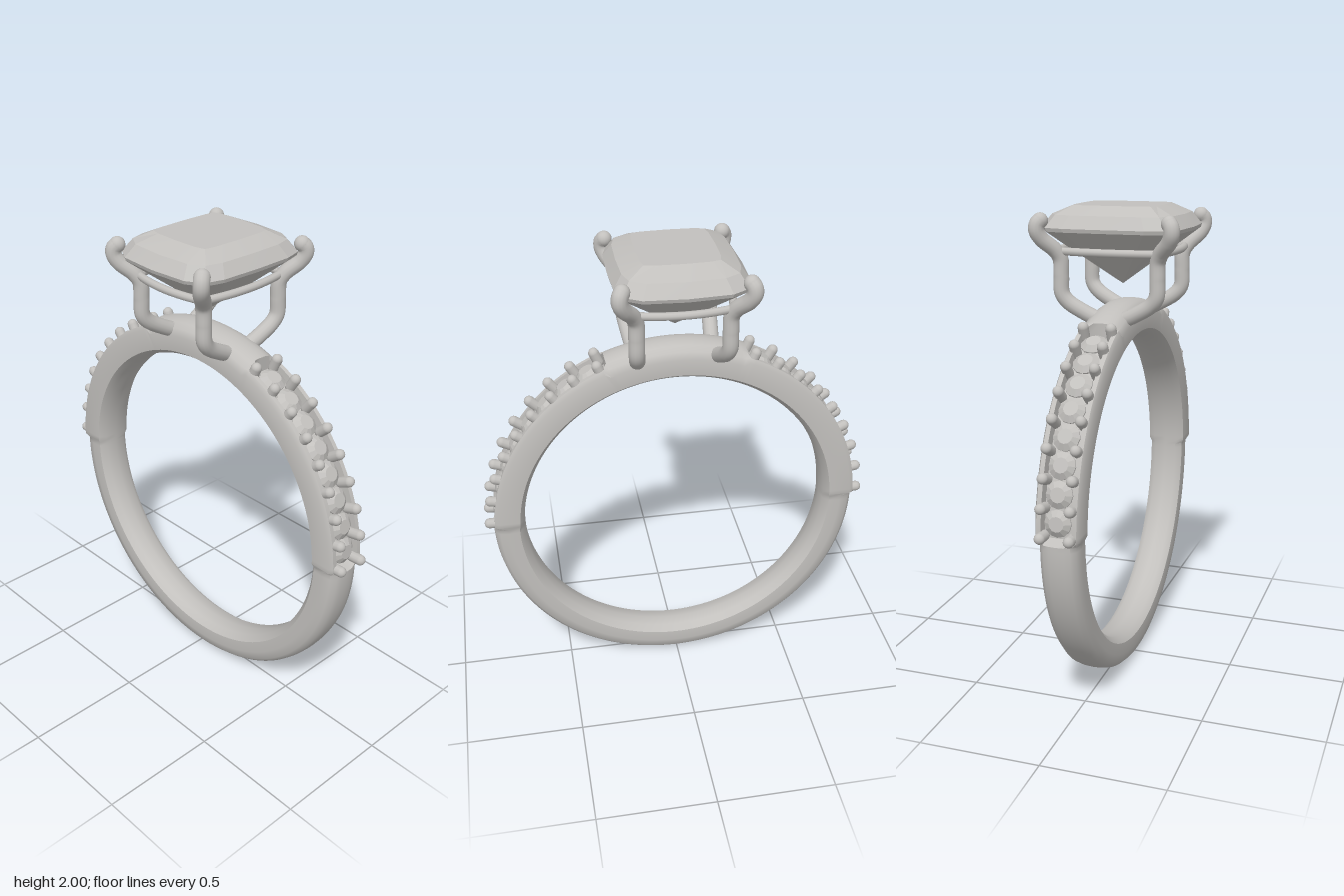
import * as THREE from 'three';
import { toCreasedNormals } from 'three/addons/utils/BufferGeometryUtils.js';

const CENTER_Y = 0.797;
const RAD = Math.PI / 180;

// Join rings of points into a surface; edges sharper than crease stay sharp.
function loft(rings, closed, crease) {
  const n = rings[0].length, m = rings.length, index = [];
  for (let i = 0; i < (closed ? m : m - 1); i++) {
    for (let j = 0; j < n; j++) {
      const k = (i + 1) % m, l = (j + 1) % n;
      const a = i * n + j, b = i * n + l, c = k * n + l, d = k * n + j;
      index.push(a, b, c, a, c, d);
    }
  }
  const geo = new THREE.BufferGeometry();
  geo.setAttribute('position', new THREE.Float32BufferAttribute(rings.flat(2), 3));
  geo.setIndex(index);
  return toCreasedNormals(geo, crease);
}

// Half cross-sections of the band as [radius, z], from inside to outside.
const plainHalf = [[0.66, 0], [0.664, 0.05], [0.688, 0.077], [0.735, 0.08], [0.772, 0.073], [0.79, 0.054], [0.796, 0.03], [0.798, 0]];
const channelHalf = [[0.66, 0], [0.664, 0.055], [0.684, 0.085], [0.775, 0.09], [0.792, 0.08], [0.792, 0.062], [0.752, 0.06], [0.752, 0]];
const crownHalf = [[0.66, 0], [0.664, 0.055], [0.684, 0.085], [0.755, 0.09], [0.785, 0.078], [0.803, 0.052], [0.81, 0.027], [0.812, 0]];

function bandGeometry() {
  const rings = [];
  for (let deg = 0; deg < 360; deg += 1.5) {
    const rise = deg <= 90 ? deg : deg <= 270 ? 180 - deg : deg - 360;
    const half = rise < 1 ? plainHalf : rise < 68 ? channelHalf : crownHalf;
    const section = [...half, ...half.slice(1, -1).reverse().map(([r, z]) => [r, -z])];
    const c = Math.cos(deg * RAD), s = Math.sin(deg * RAD);
    rings.push(section.map(([r, z]) => [r * c, CENTER_Y + r * s, z]));
  }
  return loft(rings, true, 0.75);
}

// Mirror a quarter outline (from +x to +z) into a full ring at height y.
function cushionRing(quarter, scale, y) {
  const fwd = quarter.slice(0, -1), back = quarter.slice(1).reverse();
  const part = (pts, sx, sz) => pts.map(([x, z]) => [sx * x * scale, y, sz * z * scale]);
  return [...part(fwd, 1, -1), ...part(back, -1, -1), ...part(fwd, -1, 1), ...part(back, 1, 1)];
}

const girdle = [[0.267, 0], [0.262, 0.17], [0.24, 0.248], [0.17, 0.29], [0, 0.302]];
const table = [[0.158, 0], [0.155, 0.12], [0.147, 0.162], [0.105, 0.173], [0, 0.177]];

function centreStoneGeometry() {
  return loft([
    cushionRing(girdle, 0, 1.675),
    cushionRing(girdle, 0.66, 1.825),
    cushionRing(girdle, 0.985, 1.9),
    cushionRing(girdle, 1, 1.915),
    cushionRing(girdle, 0.87, 1.965),
    cushionRing(table, 1, 2),
    cushionRing(table, 0, 2),
  ], false, 0.12);
}

export function createModel() {
  const model = new THREE.Group();
  const silver = new THREE.MeshStandardMaterial({ color: 0xc2c0bd });
  silver.name = 'silver grey';

  const add = (geo, name, parent = model) => {
    const mesh = new THREE.Mesh(geo, silver);
    mesh.name = name;
    parent.add(mesh);
    return mesh;
  };

  add(bandGeometry(), 'band');
  add(centreStoneGeometry(), 'centreStone');

  // Prongs: out from the band, up, then flaring round the stone's corners
  const prongPath = [
    [0.165, 1.555, 0.07], [0.17, 1.575, 0.11], [0.178, 1.615, 0.175], [0.183, 1.65, 0.2], [0.183, 1.72, 0.203],
    [0.185, 1.79, 0.205], [0.2, 1.825, 0.222], [0.238, 1.872, 0.265], [0.253, 1.905, 0.279], [0.252, 1.93, 0.277], [0.243, 1.944, 0.266],
  ];
  const tip = new THREE.SphereGeometry(0.032, 16, 12);
  for (const sx of [1, -1]) {
    for (const sz of [1, -1]) {
      const prong = new THREE.Group();
      prong.name = (sz > 0 ? 'front' : 'back') + (sx > 0 ? 'Left' : 'Right') + 'Prong';
      const pts = prongPath.map(([x, y, z]) => new THREE.Vector3(sx * x, y, sz * z));
      add(new THREE.TubeGeometry(new THREE.CatmullRomCurve3(pts), 60, 0.032, 14), 'prongWire', prong);
      add(tip, 'prongTip', prong).position.copy(pts[pts.length - 1]);
      add(tip, 'prongFoot', prong).position.copy(pts[0]);
      model.add(prong);
    }
  }

  // Gallery rail: four bowed wires between the prongs
  const corners = [[0.188, 0.21], [-0.188, 0.21], [-0.188, -0.21], [0.188, -0.21]];
  const bows = [[0, 0.265], [-0.24, 0], [0, -0.265], [0.24, 0]];
  corners.forEach(([x, z], i) => {
    const [ex, ez] = corners[(i + 1) % 4];
    const curve = new THREE.QuadraticBezierCurve3(
      new THREE.Vector3(x, 1.82, z),
      new THREE.Vector3(bows[i][0], 1.82, bows[i][1]),
      new THREE.Vector3(ex, 1.82, ez));
    add(new THREE.TubeGeometry(curve, 20, 0.016, 10), 'galleryRail');
  });

  // Channel stones and the beads that hold them, on both shoulders
  const smallStone = toCreasedNormals(new THREE.LatheGeometry(
    [[0, -0.03], [0.054, -0.004], [0.054, 0.002], [0.03, 0.02], [0, 0.02]].map(([r, y]) => new THREE.Vector2(r, y)), 12), 0.1);
  const bead = new THREE.CapsuleGeometry(0.022, 0.045, 6, 12);

  const place = (mesh, side, deg, radius, z) => {
    const a = deg * RAD;
    mesh.position.set(side * radius * Math.cos(a), CENTER_Y + radius * Math.sin(a), z);
    mesh.rotation.z = side * (a - Math.PI / 2);
  };
  for (const side of [1, -1]) {
    const shoulder = new THREE.Group();
    shoulder.name = side > 0 ? 'leftShoulder' : 'rightShoulder';
    for (let i = 0; i < 9; i++) {
      const deg = 2.4 + i * 8;
      if (i < 8) place(add(smallStone, 'smallStone', shoulder), side, deg + 4, 0.774, 0);
      for (const z of [0.058, -0.058]) place(add(bead, 'bead', shoulder), side, deg, 0.79, z);
    }
    model.add(shoulder);
  }

  return model;
}
